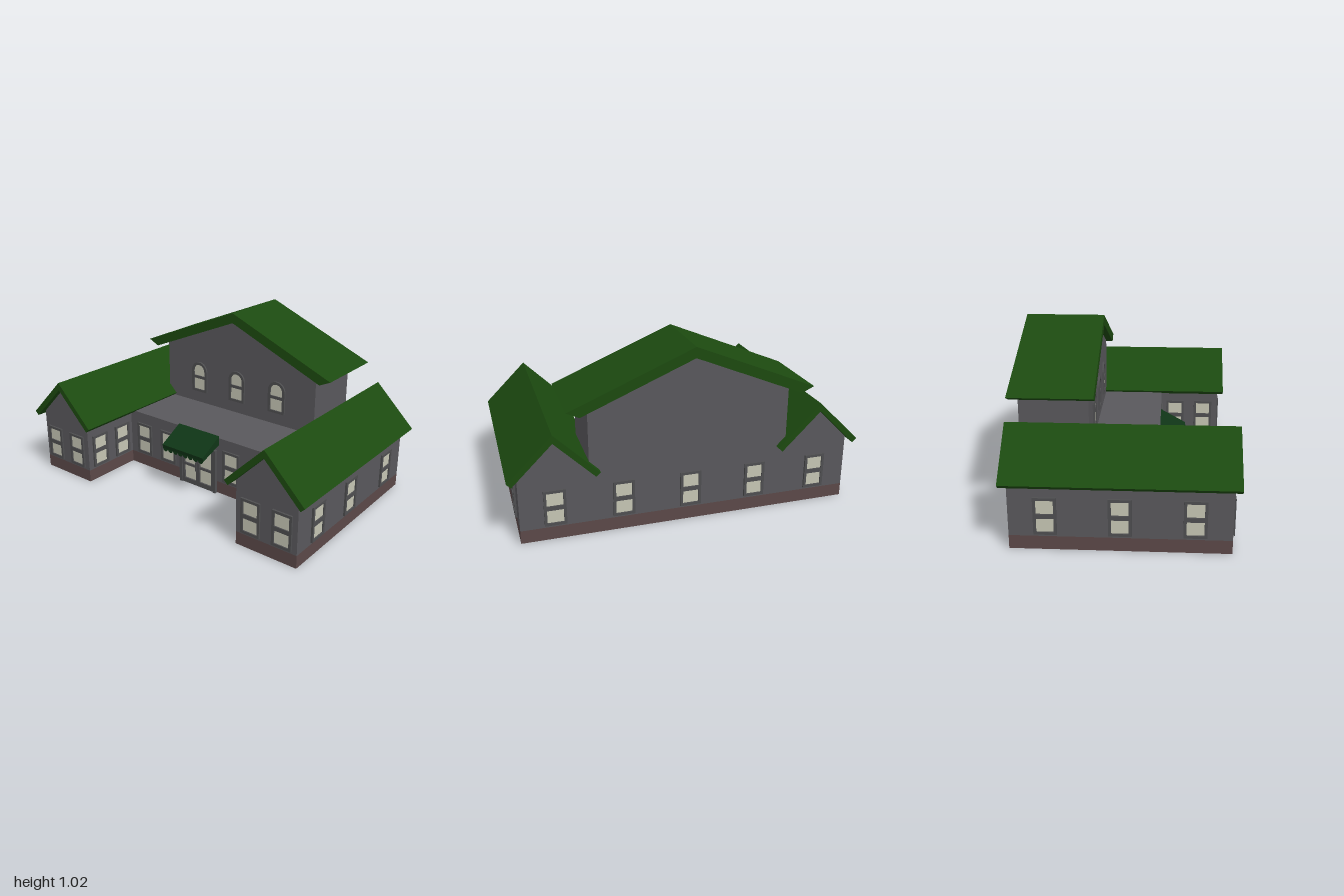
import * as THREE from 'three';

const mat = (color, side = THREE.FrontSide) =>
  new THREE.MeshStandardMaterial({ color, flatShading: true, side });

export function createModel() {
  const model = new THREE.Group();
  const wall = mat(0x59585c), base = mat(0x5b4848), roof = mat(0x1c4a10);
  const awningMat = mat(0x0f3516, THREE.DoubleSide), frameMat = mat(0x4e4e50), glass = mat(0xc6c6b4);

  const add = (parent, name, geometry, material) => {
    const mesh = new THREE.Mesh(geometry, material);
    mesh.name = name;
    parent.add(mesh);
    return mesh;
  };
  const box = (parent, name, material, x0, x1, y0, y1, z0, z1) =>
    add(parent, name, new THREE.BoxGeometry(x1 - x0, y1 - y0, z1 - z0), material)
      .position.set((x0 + x1) / 2, (y0 + y1) / 2, (z0 + z1) / 2);

  // Extrudes a [z, y] outline along x
  const prism = (parent, name, material, pts, x0, x1) => {
    const shape = new THREE.Shape(pts.map(([z, y]) => new THREE.Vector2(-z, y)));
    const g = new THREE.ExtrudeGeometry(shape, { depth: x1 - x0, bevelEnabled: false });
    g.rotateY(Math.PI / 2).translate(x0, 0, 0);
    return add(parent, name, g, material);
  };

  // Two wings with steep gable roofs
  for (const s of [1, -1]) {
    const c = 0.755 * s;
    const wing = new THREE.Group();
    wing.name = s > 0 ? 'frontWing' : 'backWing';
    model.add(wing);
    box(wing, 'wingBase', base, -0.57, 0.57, 0, 0.075, c - 0.19, c + 0.19);
    prism(wing, 'wingWalls', wall,
      [[c - 0.19, 0.075], [c + 0.19, 0.075], [c + 0.19, 0.382], [c, 0.572], [c - 0.19, 0.382]], -0.57, 0.57);
    prism(wing, 'wingRoof', roof,
      [[c, 0.62], [c - 0.245, 0.377], [c - 0.221, 0.354], [c, 0.573], [c + 0.221, 0.354], [c + 0.245, 0.377]],
      -0.605, 0.605);
  }

  // Tall hall and low flat-roofed entrance block
  box(model, 'centreBase', base, -0.19, 0.57, 0, 0.075, -0.565, 0.565);
  box(model, 'entranceBlock', wall, -0.19, 0.19, 0.075, 0.362, -0.565, 0.565);
  prism(model, 'hallWalls', wall,
    [[-0.565, 0.075], [0.565, 0.075], [0.565, 0.718], [-0.01, 0.955], [-0.565, 0.726]], 0.19, 0.57);
  prism(model, 'hallRoof', roof,
    [[-0.01, 1.017], [-0.7, 0.73], [-0.63, 0.697], [-0.01, 0.956], [0.61, 0.697], [0.68, 0.73]], 0.15, 0.605);

  // Window shapes, centred on x with the wall at z = 0
  const rect = (path, x0, y0, x1, y1) =>
    path.moveTo(x0, y0).lineTo(x1, y0).lineTo(x1, y1).lineTo(x0, y1).closePath();
  const hole = (shape, ...r) => shape.holes.push(rect(new THREE.Path(), ...r));
  const depth = { depth: 0.011, bevelEnabled: false, curveSegments: 8 };

  const sash = rect(new THREE.Shape(), -0.06, 0, 0.06, 0.205);
  hole(sash, -0.045, 0.015, 0.045, 0.09);
  hole(sash, -0.045, 0.115, 0.045, 0.19);
  const sashGeo = new THREE.ExtrudeGeometry(sash, depth);
  const sashGlass = new THREE.PlaneGeometry(0.1, 0.185).translate(0, 0.1025, 0.004);

  const archOutline = (Type, w, y0) => {
    const p = new Type();
    p.moveTo(-w, y0).lineTo(w, y0).lineTo(w, 0.14);
    p.absarc(0, 0.14, w, 0, Math.PI, false);
    return p.closePath();
  };
  const arch = archOutline(THREE.Shape, 0.06, 0);
  hole(arch, -0.043, 0.015, 0.043, 0.09);
  arch.holes.push(archOutline(THREE.Path, 0.043, 0.108));
  const archGeo = new THREE.ExtrudeGeometry(arch, depth);
  const archGlass = new THREE.ShapeGeometry(archOutline(THREE.Shape, 0.05, 0.01), 8).translate(0, 0, 0.004);

  const windowAt = (x, y, z, turn, arched = false) => {
    const w = new THREE.Group();
    w.name = arched ? 'archedWindow' : 'window';
    add(w, 'windowFrame', arched ? archGeo : sashGeo, frameMat);
    add(w, 'windowGlass', arched ? archGlass : sashGlass, glass);
    w.position.set(x, y, z);
    w.rotation.y = turn;
    model.add(w);
  };
  const Q = Math.PI / 2, Y = 0.088;
  for (const x of [-0.38, -0.04, 0.38]) windowAt(x, Y, 0.945, 0);
  for (const x of [-0.38, 0, 0.38]) windowAt(x, Y, -0.945, Math.PI);
  for (const z of [-0.755, -0.38, 0, 0.38, 0.755]) windowAt(0.57, Y, z, Q);
  for (const s of [1, -1]) {
    for (const z of [0.66, 0.855]) windowAt(-0.57, Y, z * s, -Q);
    for (const z of [0.245, 0.445]) windowAt(-0.19, Y, z * s, -Q);
    for (const x of [-0.473, -0.283]) windowAt(x, Y, 0.565 * s, s > 0 ? Math.PI : 0);
  }
  for (const z of [-0.3, 0, 0.3]) windowAt(0.19, 0.438, z, -Q, true);

  // Glazed double door
  const door = new THREE.Group();
  door.name = 'entranceDoor';
  const doorShape = rect(new THREE.Shape(), -0.13, 0, 0.13, 0.27);
  for (const s of [-1, 1]) {
    const a = s * 0.06;
    hole(doorShape, a - 0.045, 0.03, a + 0.045, 0.12);
    hole(doorShape, a - 0.045, 0.135, a + 0.045, 0.25);
    box(door, 'doorHandle', frameMat, s * 0.012 - 0.004, s * 0.012 + 0.004, 0.1, 0.16, 0.012, 0.022);
    box(door, 'doorPost', frameMat, s * 0.13 - 0.01, s * 0.13 + 0.01, 0, 0.28, 0, 0.022);
  }
  add(door, 'doorFrame', new THREE.ExtrudeGeometry(doorShape, { ...depth, depth: 0.015 }), frameMat);
  add(door, 'doorGlass', new THREE.PlaneGeometry(0.23, 0.24).translate(0, 0.14, 0.005), glass);
  door.position.x = -0.19;
  door.rotation.y = -Q;
  model.add(door);

  // Sloping awning with closed cheeks and a scalloped front edge
  const awning = new THREE.Group();
  awning.name = 'awning';
  const slope = new THREE.Shape([[0, 0.375], [0, 0.32], [0.15, 0.265], [0.155, 0.29]]
    .map(([x, y]) => new THREE.Vector2(x, y)));
  add(awning, 'awningCanopy',
    new THREE.ExtrudeGeometry(slope, { depth: 0.31, bevelEnabled: false }).translate(0, 0, -0.155), awningMat);
  for (let i = 0; i < 8; i++) {
    const flap = new THREE.CircleGeometry(0.019, 8, Math.PI, Math.PI).rotateY(Q);
    add(awning, 'awningScallop', flap, awningMat).position.set(0.151, 0.268, -0.136 + i * 0.0388);
  }
  awning.position.x = -0.19;
  awning.rotation.y = Math.PI;
  model.add(awning);

  return model;
}
